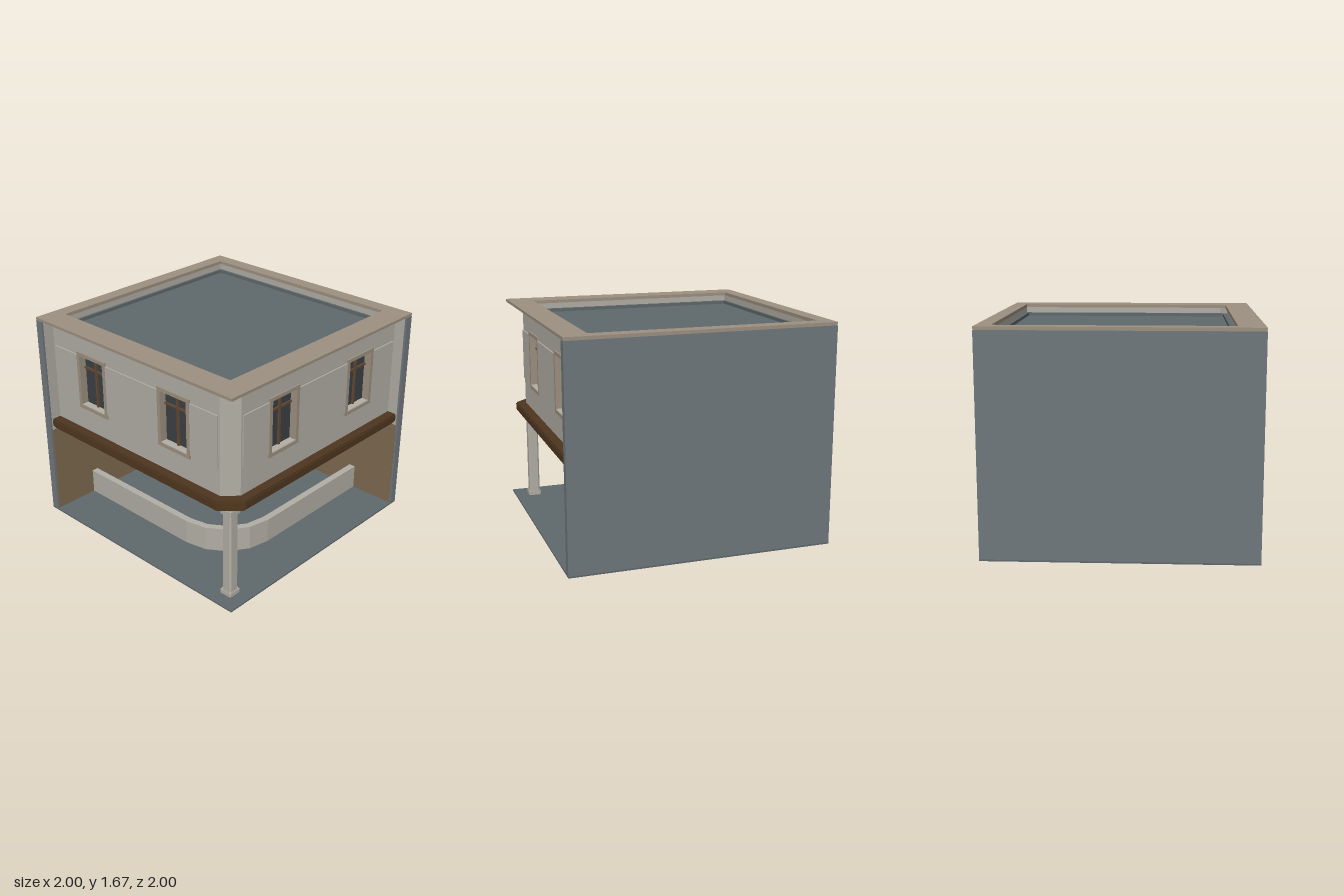
import * as THREE from 'three';

const mat = (color) => new THREE.MeshStandardMaterial({ color, side: THREE.DoubleSide });
const SLATE = mat(0x6f777b), FLOOR = mat(0x5f686b), TAN = mat(0x9c9080), PLASTER = mat(0xb2aea5);
const BROWN = mat(0x7f6a50), TIMBER = mat(0x4f361f), CEILING = mat(0x453629), GLASS = mat(0x3c4043), BAR = mat(0x634a34);

const WALL = -0.935; // inner face of the two solid walls
const FACE = 0.9;    // outer face of the two street facades

function add(parent, name, geometry, material) {
  const mesh = new THREE.Mesh(geometry, material);
  mesh.name = name;
  parent.add(mesh);
  return mesh;
}

// Box given by its minimum and maximum corners
function box(parent, name, material, a, b) {
  const mesh = add(parent, name, new THREE.BoxGeometry(b[0] - a[0], b[1] - a[1], b[2] - a[2]), material);
  mesh.position.set((a[0] + b[0]) / 2, (a[1] + b[1]) / 2, (a[2] + b[2]) / 2);
  return mesh;
}

const toPoints = (list) => list.map(([x, y]) => new THREE.Vector2(x, y));
const rect = (x0, y0, x1, y1) => [[x0, y0], [x1, y0], [x1, y1], [x0, y1]];

// Plan outline in x/z, raised from y0 to y1, with an optional opening
function slab(parent, name, material, outline, y0, y1, hole) {
  const shape = new THREE.Shape(toPoints(outline));
  if (hole) shape.holes.push(new THREE.Path(toPoints(hole)));
  const geometry = new THREE.ExtrudeGeometry(shape, { depth: y1 - y0, bevelEnabled: false });
  geometry.rotateX(Math.PI / 2).translate(0, y1, 0);
  return add(parent, name, geometry, material);
}

// Square plan with the street corner cut off, parallel to the facade corner
function cutPlan(out, back = WALL) {
  const cut = 0.1 + (out - FACE) * (2 - Math.SQRT2);
  return [[back, back], [out, back], [out, out - cut], [out - cut, out], [back, out]];
}

// Wall-to-wall band that turns the corner in four facets
function bend(out, thick) {
  const c = 0.175, pts = [];
  const arc = (r, from, to) => {
    for (let i = 0; i <= 4; i++) {
      const a = (from + (to - from) * i / 4) * Math.PI / 2;
      pts.push([c + r * Math.cos(a), c + r * Math.sin(a)]);
    }
  };
  pts.push([WALL, out]);
  arc(out - c, 1, 0);
  pts.push([out, WALL], [out - thick, WALL]);
  arc(out - c - thick, 0, 1);
  pts.push([WALL, out - thick]);
  return pts;
}

// Window centred on x, in a facade facing +z
function makeWindow(x) {
  const g = new THREE.Group();
  g.name = 'window';
  const x0 = x - 0.128, x1 = x + 0.128, y0 = 1.04, y1 = 1.445, b = 0.03;
  const ring = new THREE.Shape(toPoints(rect(x0 - b, y0 - 0.027, x1 + b, y1 + 0.027)));
  ring.holes.push(new THREE.Path(toPoints(rect(x0, y0, x1, y1))));
  const frame = new THREE.ExtrudeGeometry(ring, { depth: 0.063, bevelEnabled: false });
  add(g, 'windowFrame', frame.translate(0, 0, FACE - 0.05), TAN);
  box(g, 'windowGlass', GLASS, [x0, y0, FACE - 0.055], [x1, y1, FACE - 0.045]);
  box(g, 'windowMullion', BAR, [x - 0.009, y0, FACE - 0.046], [x + 0.009, y1, FACE - 0.03]);
  box(g, 'windowTransom', BAR, [x0, 1.33, FACE - 0.046], [x1, 1.346, FACE - 0.032]);
  return g;
}

// Upper facade facing +z; s = -1 builds it mirrored
function makeFacade(s) {
  const g = new THREE.Group();
  g.name = 'facade';
  const centres = [-0.498 * s, 0.367 * s];
  const panelled = (name, outline, z, depth) => {
    const shape = new THREE.Shape(toPoints(outline));
    for (const c of centres) {
      shape.holes.push(new THREE.Path(toPoints(rect(c - 0.13, 1.046, c + 0.13, 1.443))));
    }
    const geometry = new THREE.ExtrudeGeometry(shape, { depth, bevelEnabled: false });
    add(g, name, geometry.translate(0, 0, z), PLASTER);
  };
  panelled('facadeWall', rect(WALL * s, 0.82, 0.8 * s, 1.65), FACE - 0.06, 0.06);
  panelled('facadePanel', rect(-0.915 * s, 1.0445, 0.785 * s, 1.4445), FACE, 0.011);
  centres.forEach((c) => g.add(makeWindow(c)));
  return g;
}

// Corner column with slightly cut edges
function makeColumn() {
  const g = new THREE.Group();
  g.name = 'column';
  const plan = (h, c = 0.012) => [[-h + c, -h], [h - c, -h], [h, -h + c], [h, h - c],
    [h - c, h], [-h + c, h], [-h, h - c], [-h, -h + c]];
  slab(g, 'columnShaft', PLASTER, plan(0.042), 0.01, 0.76);
  slab(g, 'columnBase', PLASTER, plan(0.051, 0.006), 0.01, 0.04);
  slab(g, 'columnBaseStep', PLASTER, plan(0.046), 0.04, 0.05);
  slab(g, 'columnCapital', PLASTER, plan(0.051, 0.006), 0.69, 0.73);
  slab(g, 'columnCapitalTop', PLASTER, plan(0.046), 0.73, 0.755);
  g.position.set(0.845, 0, 0.845);
  return g;
}

export function createModel() {
  const model = new THREE.Group();
  model.name = 'cornerBuilding';

  // Ground and the two solid outer walls
  box(model, 'floor', FLOOR, [-1, 0, -1], [1, 0.012, 1]);
  const ell = (a, b, end) => [[a, a], [end, a], [end, b], [b, b], [b, end], [a, end]];
  slab(model, 'outerWalls', SLATE, ell(-1, WALL - 0.004, 1), 0.012, 1.65);
  slab(model, 'lowerWallLining', BROWN, ell(WALL - 0.004, WALL, 0.983), 0.012, 0.735);
  slab(model, 'upperWallLining', PLASTER, ell(WALL - 0.004, WALL, 0.983), 0.735, 1.65);

  // Low wall and matching bulkhead under the ceiling
  slab(model, 'lowWall', PLASTER, bend(0.62, 0.05), 0.012, 0.2);
  slab(model, 'lowWallCap', PLASTER, bend(0.622, 0.054), 0.2, 0.21);
  slab(model, 'bulkhead', PLASTER, bend(0.62, 0.05), 0.69, 0.765);
  slab(model, 'bulkheadTrim', PLASTER, bend(0.622, 0.054), 0.68, 0.69);

  // Ceiling and the stepped timber cornice around it
  slab(model, 'ceiling', CEILING, cutPlan(0.95), 0.76, 0.82);
  [[0.742, 0.755, 0.952], [0.755, 0.772, 0.964], [0.772, 0.82, 0.976], [0.82, 0.831, 0.97]].forEach(([y0, y1, out]) =>
    slab(model, 'cornice', TIMBER, cutPlan(out), y0, y1, cutPlan(0.79, WALL + 0.001)));
  model.add(makeColumn());

  // Upper storey: two mirrored facades and the cut corner between them
  model.add(makeFacade(1));
  const side = makeFacade(-1);
  side.rotation.y = Math.PI / 2;
  model.add(side);
  slab(model, 'cornerWall', PLASTER, [[0.8, 0.9], [0.9, 0.8], [0.84, 0.8], [0.8, 0.84]], 0.82, 1.65);
  slab(model, 'frieze', PLASTER, cutPlan(0.911), 1.605, 1.65, cutPlan(0.82, -0.89));

  // Sunken roof inside a flat coping
  slab(model, 'roof', FLOOR, cutPlan(0.85), 1.56, 1.58);
  slab(model, 'roofLedge', FLOOR, cutPlan(0.85), 1.58, 1.605, rect(-0.872, -0.872, 0.787, 0.787));
  const opening = rect(-0.89, -0.89, 0.807, 0.807);
  slab(model, 'copingUnderside', TAN, rect(-0.994, -0.994, 0.994, 0.994), 1.65, 1.656, opening);
  slab(model, 'coping', TAN, rect(-1, -1, 1, 1), 1.656, 1.675, opening);
  return model;
}
